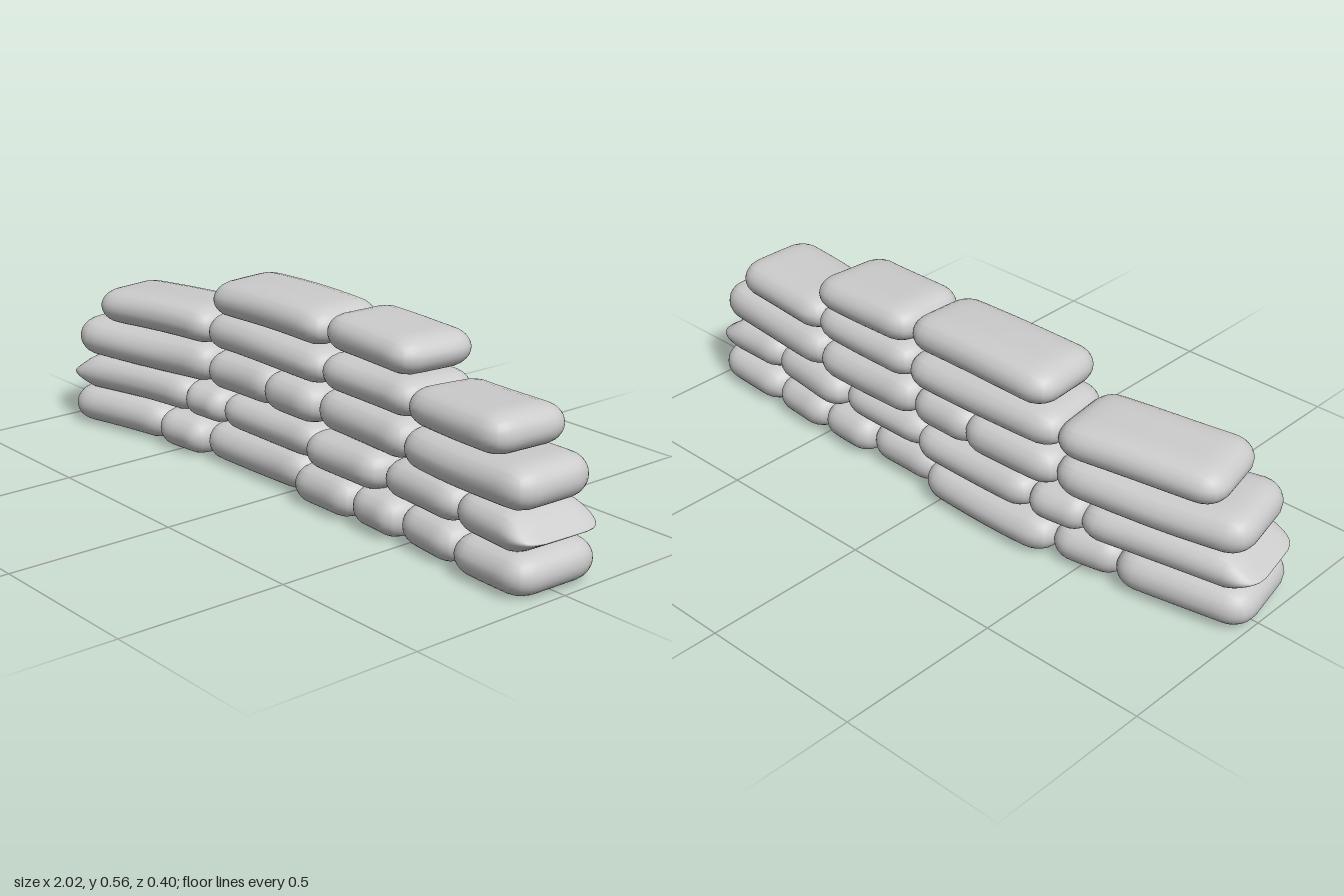
import * as THREE from 'three';
import { mergeVertices } from 'three/addons/utils/BufferGeometryUtils.js';

// Centre line of the curved wall, as (x, z) knots
const LINE = [[-1, 0.065], [-0.7, 0.0], [-0.4, -0.05], [-0.15, -0.055], [0.1, -0.052],
  [0.4, -0.048], [0.7, -0.015], [1, 0.0]];

function centreZ(x) {
  let i = 0;
  while (i < LINE.length - 2 && x > LINE[i + 1][0]) i++;
  const [x0, z0] = LINE[i], [x1, z1] = LINE[i + 1];
  return z0 + (z1 - z0) * (x - x0) / (x1 - x0);
}
const smoothZ = x => (centreZ(x - 0.1) + 2 * centreZ(x) + centreZ(x + 0.1)) / 4;

// One pillow-shaped bag from xa to xb; pinch = -1 / 1 squeezes that end to a flat seam
function bagGeometry(xa, xb, y0, y1, depth, offset, pinch, seed) {
  const h = [(xb - xa) / 2, (y1 - y0) / 2, depth / 2];
  const r = [Math.min(0.075, h[0] * 0.6), h[1], 0.075];
  const mid = (xa + xb) / 2;
  const geo = new THREE.BoxGeometry(2, 2, 2, 18, 8, 12);
  geo.deleteAttribute('uv');
  geo.deleteAttribute('normal');
  const pos = geo.attributes.position;
  for (let i = 0; i < pos.count; i++) {
    const u = [pos.getX(i), pos.getY(i), pos.getZ(i)];
    // crowd the grid toward the edges, then round the box
    const p = u.map((v, k) => h[k] * (k === 1 ? v : Math.sin(v * Math.PI / 2)));
    const inner = p.map((v, k) => THREE.MathUtils.clamp(v, r[k] - h[k], h[k] - r[k]));
    const d = p.map((v, k) => (v - inner[k]) / r[k]);
    const len = Math.hypot(...d) || 1;
    const most = Math.max(...d.map(Math.abs));
    let [x, y, z] = inner.map((v, k) => v + d[k] / len * most * r[k]);

    // soft sagging of the filling
    const wave = Math.sin(x * 9 + seed * 1.7) * 0.004 + Math.sin(z * 13 + seed * 2.3) * 0.002;
    y += wave * (y > 0 ? 1 : 0.5);
    z *= 1 + 0.025 * Math.sin(x * 7 + seed * 2.9);
    if (pinch) {
      const t = THREE.MathUtils.clamp((x * pinch - h[0] + 0.09) / 0.09, 0, 1);
      y = y * (1 - 0.85 * t) - 0.008 * t;
    }

    // bend along the wall, keeping the ends square to it
    const wx = mid + x;
    const slope = (smoothZ(wx + 0.05) - smoothZ(wx - 0.05)) / 0.1;
    pos.setXYZ(i, wx - slope * z, Math.max(0, (y0 + y1) / 2 + y), smoothZ(wx) + z + offset);
  }
  const out = mergeVertices(geo, 1e-5);
  out.computeVertexNormals();
  return out;
}

// Courses from the ground up; a bag is [x start, x end, z offset, pinched end]
const COURSES = [
  { y: [-0.004, 0.117], depth: 0.29, bags: [[-0.99, -0.59, 0], [-0.61, -0.39, 0.02], [-0.41, 0.06, 0],
    [0.04, 0.31, 0.035], [0.29, 0.5, 0.02], [0.48, 0.72, 0], [0.7, 0.99, 0]] },
  { y: [0.107, 0.222], depth: 0.28, bags: [[-1, -0.48, 0, -1], [-0.51, -0.32, 0.005], [-0.34, 0.1, 0],
    [0.08, 0.42, 0.03], [0.4, 0.72, 0], [0.7, 1, 0, 1]] },
  { y: [0.215, 0.338], depth: 0.28, bags: [[-0.97, -0.4, 0], [-0.42, -0.09, 0], [-0.13, 0.12, 0.01],
    [0.1, 0.5, 0], [0.48, 0.97, 0]] },
  { y: [0.334, 0.447], depth: 0.27, bags: [[-0.885, -0.4, 0], [-0.42, 0.13, 0], [0.11, 0.51, 0],
    [0.49, 0.88, 0]] },
  { y: [0.445, 0.556], depth: 0.265, bags: [[-0.385, 0.13, 0.007], [0.115, 0.495, -0.008]] },
];

export function createModel() {
  const wall = new THREE.Group();
  wall.name = 'sandbagWall';
  const material = new THREE.MeshStandardMaterial({ color: 0xcccccc });
  let seed = 1;
  COURSES.forEach(({ y, depth, bags }, row) => {
    const course = new THREE.Group();
    course.name = `course${row + 1}`;
    bags.forEach(([xa, xb, offset, pinch = 0], n) => {
      const bag = new THREE.Mesh(bagGeometry(xa, xb, y[0], y[1], depth, offset, pinch, seed++), material);
      bag.name = `sandbag${row + 1}_${n + 1}`;
      course.add(bag);
    });
    wall.add(course);
  });
  return wall;
}
